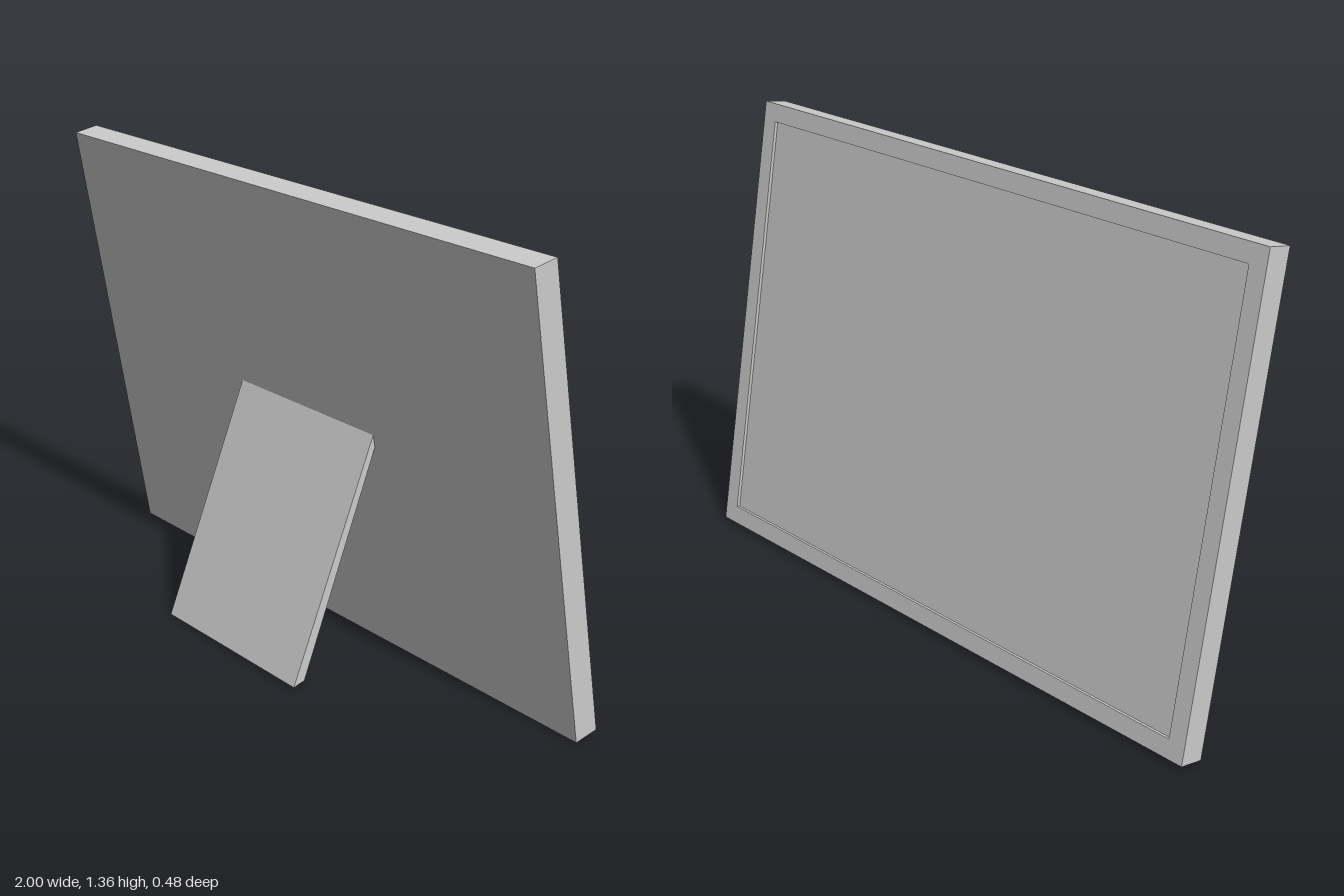
import * as THREE from 'three';

const W = 2, H = 1.371, DEPTH = 0.077, RECESS = 0.01, RIM = 0.055;
const TILT = THREE.MathUtils.degToRad(10);

function rectangle(target, w, h, inset = 0) {
  target.moveTo(-w / 2 + inset, inset);
  target.lineTo(w / 2 - inset, inset);
  target.lineTo(w / 2 - inset, h - inset);
  target.lineTo(-w / 2 + inset, h - inset);
  target.closePath();
  return target;
}

export function createModel() {
  const model = new THREE.Group();
  model.name = 'tabletopFrame';
  const material = new THREE.MeshStandardMaterial({ color: 0xcccccc, flatShading: true });

  const add = (parent, name, geometry) => {
    const mesh = new THREE.Mesh(geometry, material);
    mesh.name = name;
    parent.add(mesh);
    return mesh;
  };

  // Leaning panel, pivoting on its lower edge
  const panel = new THREE.Group();
  panel.name = 'leaningPanel';
  panel.position.z = -0.163;
  panel.rotation.x = TILT;
  model.add(panel);

  const slab = DEPTH - RECESS;
  add(panel, 'panelBody', new THREE.BoxGeometry(W, H, slab).translate(0, H / 2, -slab / 2));

  // Thin raised rim that leaves the display area recessed
  const rimShape = rectangle(new THREE.Shape(), W, H);
  rimShape.holes.push(rectangle(new THREE.Path(), W, H, RIM));
  const rim = new THREE.ExtrudeGeometry(rimShape, { depth: RECESS, bevelEnabled: false });
  add(panel, 'displayRim', rim.translate(0, 0, -DEPTH));

  // Flat prop leg: side profile (z, y) swept across its width
  const profile = [[0.241, 0.006], [0.203, 0.016], [-0.047, 0.66], [-0.04, 0.698]];
  const legShape = new THREE.Shape(profile.map(([z, y]) => new THREE.Vector2(-z, y)));
  const leg = new THREE.ExtrudeGeometry(legShape, { depth: 0.6, bevelEnabled: false });
  add(model, 'propLeg', leg.translate(0, 0, -0.3).rotateY(Math.PI / 2));

  return model;
}
